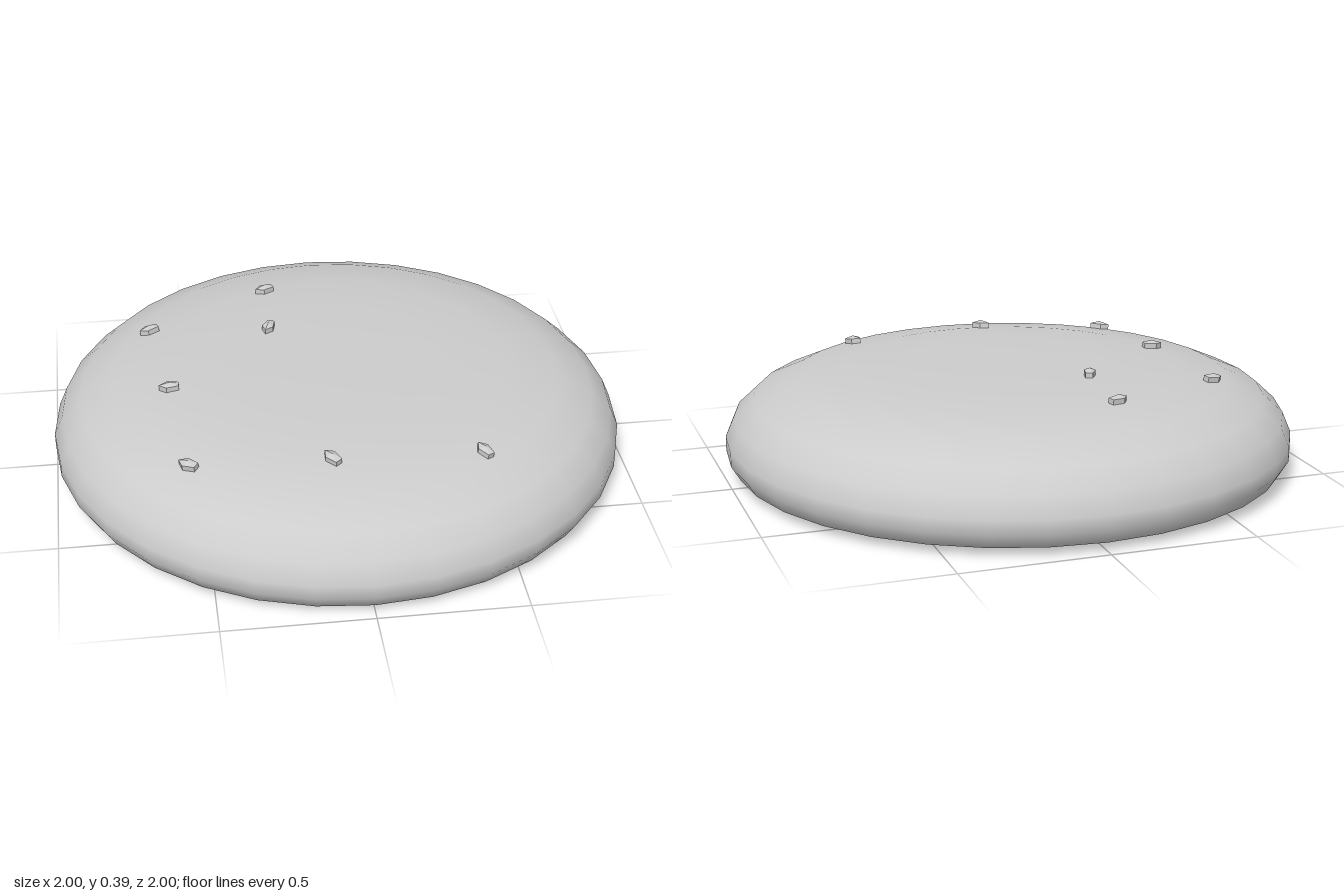
import * as THREE from 'three';

// Bun cross-section, from bottom centre to top centre: [radius, height]
const PROFILE = [
  [0, 0], [0.8, 0], [0.89, 0.006], [0.97, 0.03], [1, 0.08], [1, 0.13], [0.97, 0.2],
  [0.9, 0.265], [0.78, 0.317], [0.6, 0.346], [0.35, 0.36], [0, 0.36],
];

// Seeds: x, z, heading of the pointed end (radians, from +x towards -z)
const SEEDS = [
  [-0.2, -0.54, 3.5], [-0.64, -0.33, 3.45], [-0.215, -0.24, 4.3], [-0.59, 0.1, 3.1],
  [-0.555, 0.54, 2.5], [-0.09, 0.6, 2.2], [0.415, 0.595, 2.1],
];

// Height and slope of the crown at a given radius
function crownAt(r) {
  for (let i = PROFILE.length - 1; i > 0; i--) {
    const [r1, y1] = PROFILE[i], [r0, y0] = PROFILE[i - 1];
    if (r <= r0) {
      const slope = (y0 - y1) / (r0 - r1);
      return { y: y1 + (r - r1) * slope, slope };
    }
  }
}

export function createModel() {
  const group = new THREE.Group();
  group.name = 'seededBun';
  const grey = new THREE.MeshStandardMaterial({ color: 0xcccccc });
  grey.name = 'light grey';

  // Smooth round bun with a flat base
  const bun = new THREE.Mesh(
    new THREE.LatheGeometry(PROFILE.map(([r, y]) => new THREE.Vector2(r, y)), 32), grey);
  bun.name = 'bun';
  group.add(bun);

  // Five-sided faceted seed, long along x
  const seedGeometry = new THREE.SphereGeometry(1, 5, 3)
    .rotateY(Math.PI)
    .scale(0.044, 0.02, 0.025)
    .toNonIndexed();
  seedGeometry.computeVertexNormals();

  // Seeds lie on the crown, tilted to its surface
  const up = new THREE.Vector3(0, 1, 0);
  SEEDS.forEach(([x, z, heading], i) => {
    const r = Math.hypot(x, z);
    const { y, slope } = crownAt(r);
    const normal = new THREE.Vector3(-slope * x / r, 1, -slope * z / r).normalize();
    const seed = new THREE.Mesh(seedGeometry, grey);
    seed.name = `seed${i + 1}`;
    seed.position.set(x, y + 0.008, z);
    seed.quaternion.setFromUnitVectors(up, normal)
      .multiply(new THREE.Quaternion().setFromAxisAngle(up, heading));
    group.add(seed);
  });

  return group;
}
